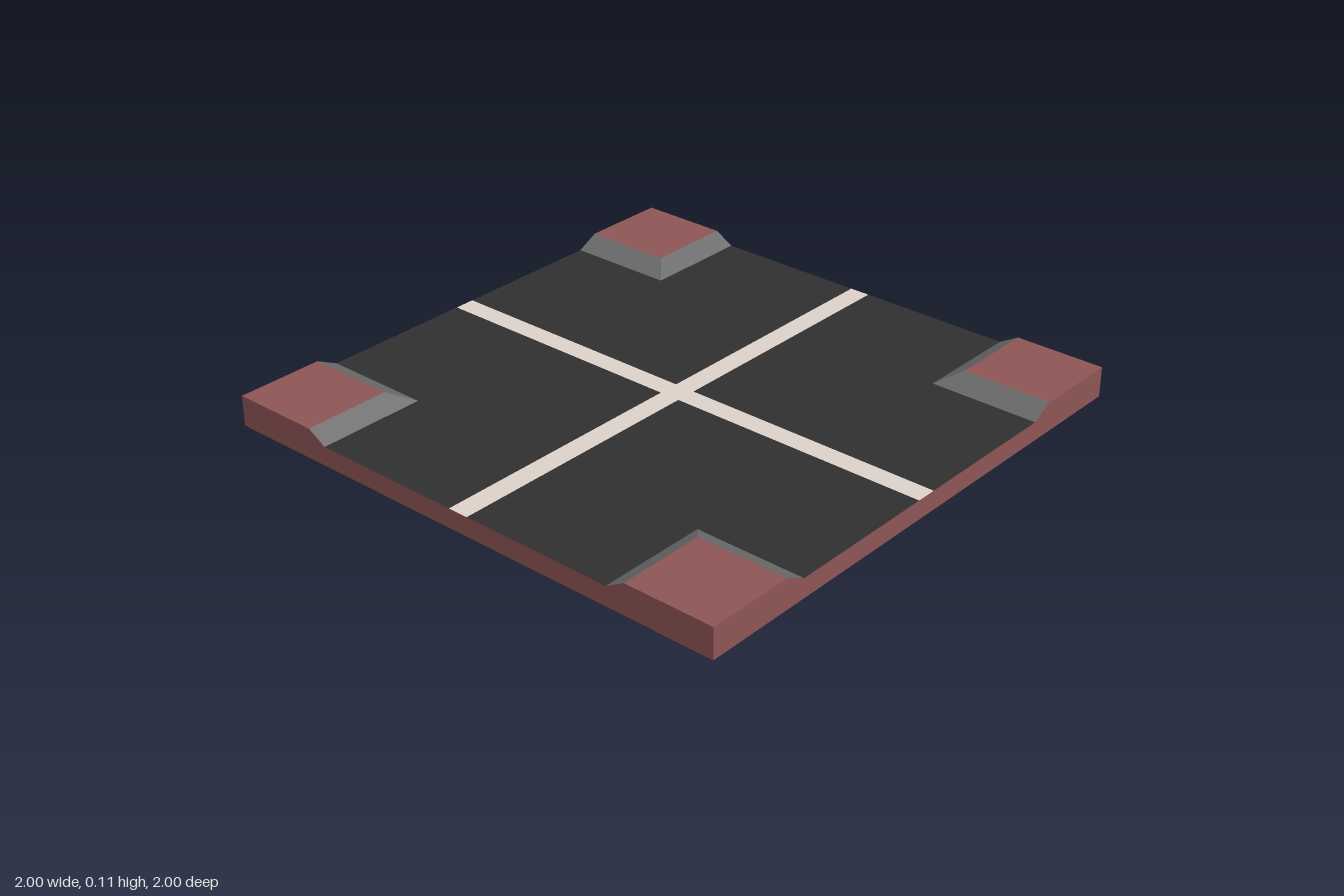
import * as THREE from 'three';

const ROAD = 0.07, TOP = 0.11;      // road and raised corner heights
const IN = 0.6, CX = 0.67, CZ = 0.68; // foot and crest of the kerb slopes
const LINE = 0.038;                  // half width of the road markings

const mat = (color) => new THREE.MeshStandardMaterial({ color, flatShading: true });
const brick = mat(0x8e5555), asphalt = mat(0x303030), kerb = mat(0x6a6a6a), paint = mat(0xddd2c8);

// Flat polygons, each fanned from its first corner, counter-clockwise from outside
function faces(name, material, ...polygons) {
  const pos = [];
  for (const p of polygons)
    for (let i = 1; i < p.length - 1; i++) pos.push(...p[0], ...p[i], ...p[i + 1]);
  const geometry = new THREE.BufferGeometry();
  geometry.setAttribute('position', new THREE.Float32BufferAttribute(pos, 3));
  geometry.computeVertexNormals();
  const mesh = new THREE.Mesh(geometry, material);
  mesh.name = name;
  return mesh;
}

// One quarter of the tile, on the +x +z side
function quarter() {
  const g = new THREE.Group();
  const flat = (y, pts) => pts.map(([x, z]) => [x, y, z]);
  const profile = (crest) => [[IN, ROAD], [0, ROAD], [0, 0], [1, 0], [1, TOP], [crest, TOP]];
  g.add(
    faces('roadSurface', asphalt,
      flat(ROAD, [[IN, IN], [1, IN], [1, LINE], [LINE, LINE], [LINE, 1], [IN, 1]])),
    faces('kerbSlopes', kerb,
      [[IN, ROAD, IN], [IN, ROAD, 1], [CX, TOP, 1], [CX, TOP, CZ]],
      [[IN, ROAD, IN], [CX, TOP, CZ], [1, TOP, CZ], [1, ROAD, IN]]),
    faces('cornerPavement', brick, flat(TOP, [[CX, CZ], [CX, 1], [1, 1], [1, CZ]])),
    faces('outerWalls', brick,
      profile(CX).map(([x, y]) => [x, y, 1]),
      profile(CZ).reverse().map(([z, y]) => [1, y, z]).map((p, i, a) => a[(i + 5) % 6])),
  );
  return g;
}

export function createModel() {
  const model = new THREE.Group();
  model.name = 'crossroadTile';

  // Four mirrored quarters
  for (const sx of [1, -1]) for (const sz of [1, -1]) {
    const q = quarter();
    q.name = (sz > 0 ? 'front' : 'back') + (sx > 0 ? 'Left' : 'Right') + 'Quarter';
    q.scale.set(sx, 1, sz);
    model.add(q);
  }

  // Crossing road markings, flush with the asphalt
  const strip = (name, w, d, z) => {
    const m = new THREE.Mesh(new THREE.PlaneGeometry(w, d).rotateX(-Math.PI / 2), paint);
    m.name = name;
    m.position.set(0, ROAD, z);
    model.add(m);
  };
  strip('crossMarking', 2, 2 * LINE, 0);
  for (const s of [1, -1])
    strip(s > 0 ? 'frontMarking' : 'backMarking', 2 * LINE, 1 - LINE, s * (1 + LINE) / 2);

  // Underside
  const base = new THREE.Mesh(new THREE.PlaneGeometry(2, 2).rotateX(Math.PI / 2), brick);
  base.name = 'underside';
  model.add(base);
  return model;
}
